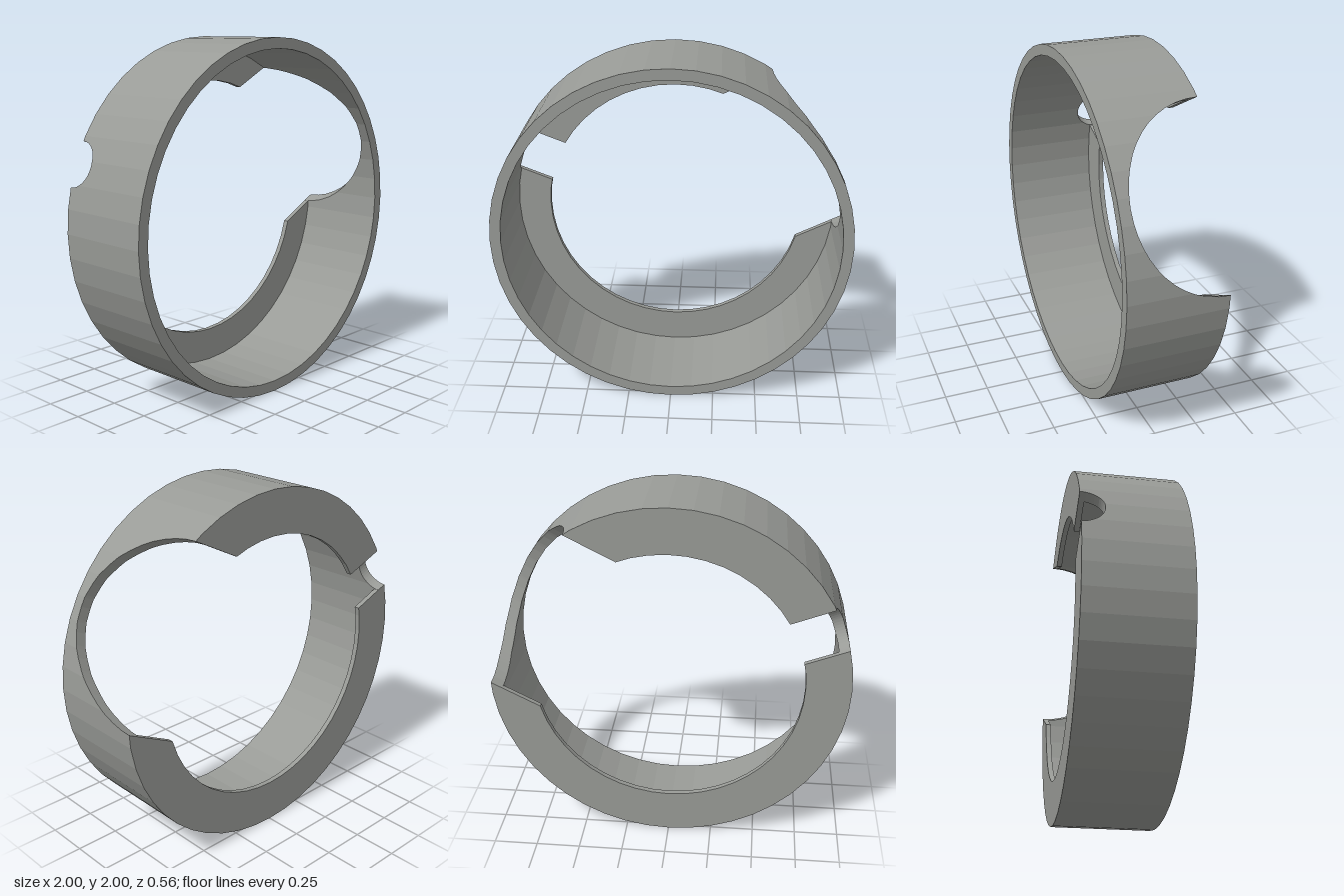
import * as THREE from 'three';

const SIDES = 48, OUTER = 1, INNER = 0.94, LIP = 0.75;
const FRONT = 0.28, BACK = -0.28, LIP_DEPTH = 0.03;
const STEP = (Math.PI * 2) / SIDES;
const rad = THREE.MathUtils.degToRad;

// round cuts that run outward through the wall, centred on its back edge
const notches = [
  { angle: rad(27), r: 0.5 },
  { angle: rad(158.8), r: 0.125 },
];

// radius of the faceted ring at an angle
function facetRadius(r, t) {
  const m = ((t % STEP) + STEP) % STEP;
  return (r * Math.cos(STEP / 2)) / Math.cos(m - STEP / 2);
}

// angle where a line parallel to the cut, offset sideways by s, meets the ring
function hitAngle(r, notch, s) {
  let t = notch.angle;
  for (let i = 0; i < 40; i++) t = notch.angle + Math.asin(s / facetRadius(r, t));
  return t;
}

function ringPoint(r, t) {
  const f = facetRadius(r, t);
  return [f * Math.cos(t), f * Math.sin(t)];
}

const inside = (n, r, t) =>
  Math.cos(t - n.angle) > 0 && Math.abs(r * Math.sin(t - n.angle)) < n.r;

// cross-sections of the wall, in order around the ring
function wallSections() {
  const list = [];
  const add = (to, ti, back) => {
    const full = Math.PI * 2;
    list.push({ key: ((to % full) + full) % full, o: ringPoint(OUTER, to), i: ringPoint(INNER, ti), back });
  };
  for (let k = 0; k < SIDES; k++) {
    const t = k * STEP;
    if (!notches.some((n) => inside(n, INNER, t))) add(t, t, BACK);
  }
  for (const n of notches) {
    const offsets = [];
    for (let k = 0; k <= 24; k++) offsets.push(-n.r * Math.cos((Math.PI * k) / 24));
    for (const r of [OUTER, INNER])
      for (let k = 0; k < SIDES; k++)
        if (inside(n, r, k * STEP)) offsets.push(r * Math.sin(k * STEP - n.angle));
    for (const s of offsets)
      add(hitAngle(OUTER, n, s), hitAngle(INNER, n, s), BACK + Math.sqrt(Math.max(0, n.r * n.r - s * s)));
  }
  return list.sort((a, b) => a.key - b.key);
}

function wallGeometry() {
  const pos = [];
  const quad = (a, b, c, d) => pos.push(...a, ...b, ...c, ...a, ...c, ...d);
  const sections = wallSections();
  sections.forEach((a, k) => {
    const b = sections[(k + 1) % sections.length];
    const [ao, bo, ai, bi] = [[...a.o, a.back], [...b.o, b.back], [...a.i, a.back], [...b.i, b.back]];
    const [aO, bO, aI, bI] = [[...a.o, FRONT], [...b.o, FRONT], [...a.i, FRONT], [...b.i, FRONT]];
    quad(ao, bo, bO, aO); // outside
    quad(bi, ai, aI, bI); // inside
    quad(aI, aO, bO, bI); // front rim
    quad(ai, bi, bo, ao); // back rim and cut surface
  });
  const g = new THREE.BufferGeometry();
  g.setAttribute('position', new THREE.Float32BufferAttribute(pos, 3));
  g.computeVertexNormals();
  return g;
}

// faceted arc between two angles, ends included
function arc(r, from, to) {
  const pts = [from];
  for (let k = Math.ceil(from / STEP + 1e-6); k * STEP < to - 1e-6; k++) pts.push(k * STEP);
  pts.push(to);
  return pts.map((t) => new THREE.Vector2(...ringPoint(r, t)));
}

// flat lip segment from the end of one notch to the start of the next
function lipGeometry(a, b, turn) {
  const edge = (r) => arc(r, hitAngle(r, a, a.r), hitAngle(r, b, -b.r) + turn);
  const shape = new THREE.Shape([...edge(INNER), ...edge(LIP).reverse()]);
  return new THREE.ExtrudeGeometry(shape, { depth: LIP_DEPTH, bevelEnabled: false });
}

export function createModel() {
  const grey = new THREE.MeshStandardMaterial({ color: 0x999b97, flatShading: true });
  grey.name = 'grey';
  const model = new THREE.Group();
  model.name = 'notchedRing';

  const add = (name, geometry, z) => {
    const mesh = new THREE.Mesh(geometry, grey);
    mesh.name = name;
    mesh.position.set(0, 1, z);
    model.add(mesh);
  };
  add('wall', wallGeometry(), 0);
  add('upperLip', lipGeometry(notches[0], notches[1], 0), BACK);
  add('lowerLip', lipGeometry(notches[1], notches[0], Math.PI * 2), BACK);
  return model;
}
